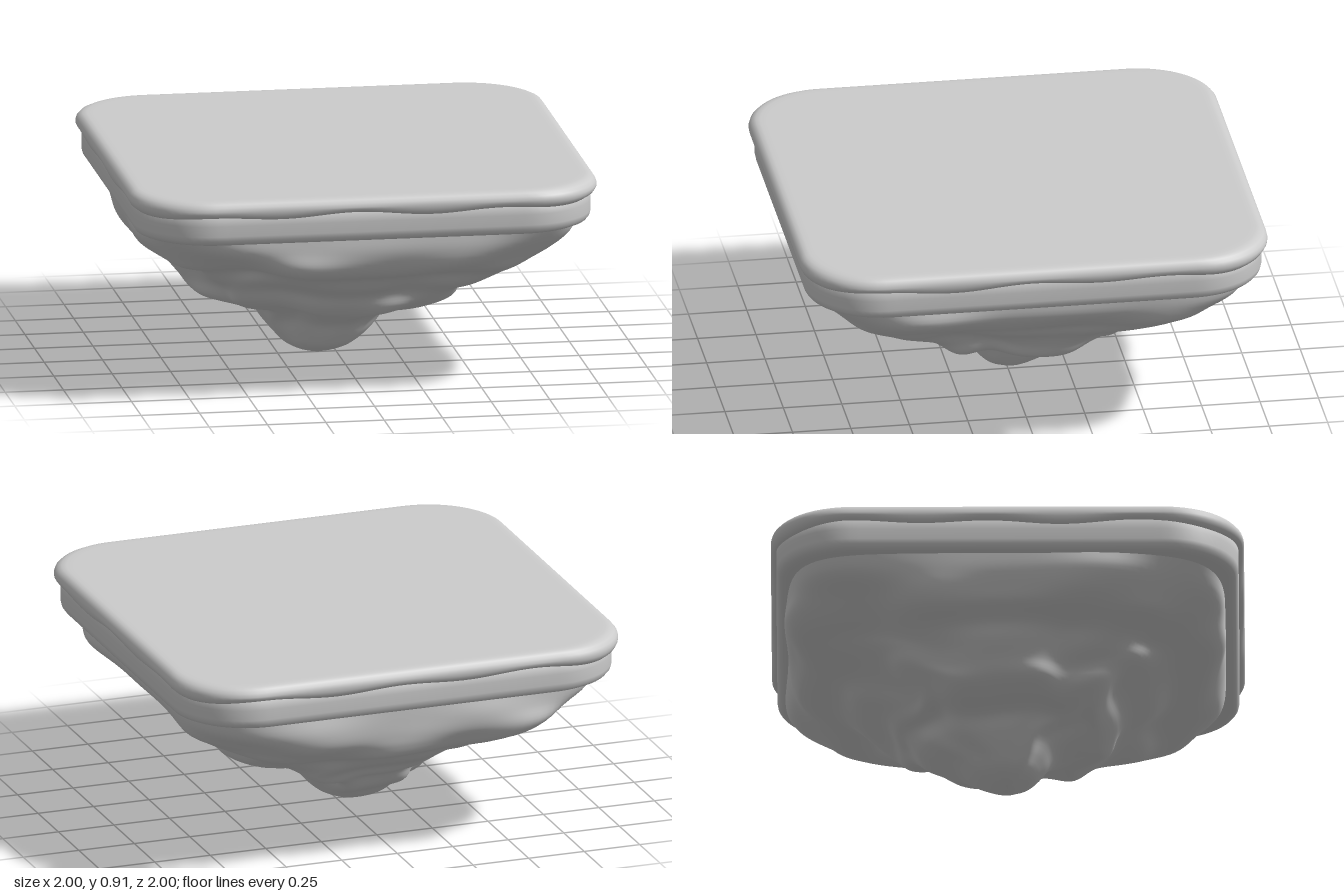
import * as THREE from 'three';

const COUNT = 200;
const material = new THREE.MeshStandardMaterial({ color: 0xcccccc });

// Rounded-square outline with half-width 1, walked from +x towards +z
function roundedSquare(radius) {
  const path = new THREE.Path();
  const c = 1 - radius;
  [[c, c], [-c, c], [-c, -c], [c, -c]].forEach(([x, z], k) =>
    path.absarc(x, z, radius, k * Math.PI / 2, (k + 1) * Math.PI / 2, false));
  path.closePath();
  return path.getSpacedPoints(COUNT).slice(0, COUNT);
}

// Closed skin through rings of points, ordered from top to bottom
function loft(name, rings) {
  const index = [];
  for (let j = 0; j < rings.length - 1; j++) {
    for (let i = 0; i < COUNT; i++) {
      const a = j * COUNT + i, b = j * COUNT + (i + 1) % COUNT;
      index.push(a, b, a + COUNT, b, b + COUNT, a + COUNT);
    }
  }
  const geometry = new THREE.BufferGeometry().setFromPoints(rings.flat());
  geometry.setIndex(index);
  geometry.computeVertexNormals();
  const mesh = new THREE.Mesh(geometry, material);
  mesh.name = name;
  return mesh;
}

// Slab from [half-width, height, wave amount] steps
function slab(name, steps) {
  const outline = roundedSquare(0.32);
  return loft(name, steps.map(([half, y, wave = 0]) => outline.map((p, i) => {
    const t = i / COUNT * Math.PI * 2;
    const ripple = 0.008 * Math.sin(12 * t + 1.5) + 0.003 * Math.sin(7 * t);
    return new THREE.Vector3(p.x * half, y + wave * ripple, p.y * half);
  })));
}

// Rock steps: height, reach to +x, -x, +z, -z, squareness of the section
const ROCK = [
  [0.74, 0.93, 0.93, 0.92, 0.93, 6.5],
  [0.65, 0.92, 0.92, 0.92, 0.935, 5.5],
  [0.58, 0.86, 0.89, 0.90, 0.93, 4.2],
  [0.53, 0.79, 0.85, 0.85, 0.91, 3.4],
  [0.48, 0.74, 0.74, 0.70, 0.87, 2.8],
  [0.42, 0.64, 0.70, 0.62, 0.71, 2.5],
  [0.36, 0.575, 0.66, 0.50, 0.63, 2.3],
  [0.30, 0.54, 0.625, 0.455, 0.51, 2.2],
  [0.26, 0.45, 0.53, 0.41, 0.47, 2.1],
  [0.235, 0.27, 0.38, 0.36, 0.43, 2],
  [0.17, 0.20, 0.33, 0.21, 0.37, 2],
  [0.10, 0.14, 0.27, 0.155, 0.22, 2],
  [0.05, 0.08, 0.22, 0.11, 0.14, 2],
  [0.015, 0.0, 0.15, 0.04, 0.06, 2],
  [0, -0.08, 0.08, 0, 0, 2],
];

// Point on the rock for one step and angle, with uneven bulges between the sides
function rockPoint([y, right, left, front, back, n], angle) {
  const c = Math.cos(angle), s = Math.sin(angle);
  const bend = (Math.abs(c) ** n + Math.abs(s) ** n) ** (-1 / n);
  const cx = -0.08 * (1 - y / 0.74);
  const reachX = c > 0 ? right - cx : left + cx;
  const reachZ = s > 0 ? front : back;
  const fade = Math.sin(Math.PI * Math.min(1, y / 0.74)) ** 1.2;
  const side = 0.2 + 0.8 * Math.sin(2 * angle) ** 2;
  const lump = 0.06 * Math.sin(5 * angle + 9 * y) + 0.05 * Math.sin(8 * angle - 14 * y + 1)
    + 0.03 * Math.sin(11 * angle + 20 * y + 2);
  const k = bend * (1 + fade * side * (lump - 0.03));
  const lift = fade * side * (0.03 * Math.sin(3 * angle + 1) + 0.02 * Math.sin(7 * angle));
  return new THREE.Vector3(cx + c * k * reachX, y + lift, s * k * reachZ);
}

function rock() {
  const columns = [];
  for (let i = 0; i < COUNT; i++) {
    const angle = i / COUNT * Math.PI * 2;
    const curve = new THREE.CatmullRomCurve3(ROCK.map((step) => rockPoint(step, angle)));
    columns.push(curve.getPoints((ROCK.length - 1) * 5));
  }
  return loft('rockUnderside', columns[0].map((_, j) => columns.map((col) => col[j])));
}

export function createModel() {
  const model = new THREE.Group();
  model.name = 'floatingIsland';

  // Grass layer with a soft rim and a wavy lower lip
  model.add(slab('grassLayer', [
    [0, 0.908], [0.93, 0.908], [0.955, 0.908], [0.972, 0.905], [0.986, 0.897],
    [0.996, 0.884], [1, 0.868], [0.999, 0.855, 0.4], [0.993, 0.842, 0.8],
    [0.982, 0.833, 1], [0.965, 0.83, 1], [0.9, 0.83, 1],
  ]));

  // Soil band below the grass
  model.add(slab('soilLayer', [
    [0.95, 0.86], [0.977, 0.85], [0.977, 0.80], [0.977, 0.755], [0.973, 0.735],
    [0.963, 0.72], [0.948, 0.712], [0.93, 0.71], [0.85, 0.71], [0, 0.71],
  ]));

  // Tapering rock
  model.add(rock());
  return model;
}
